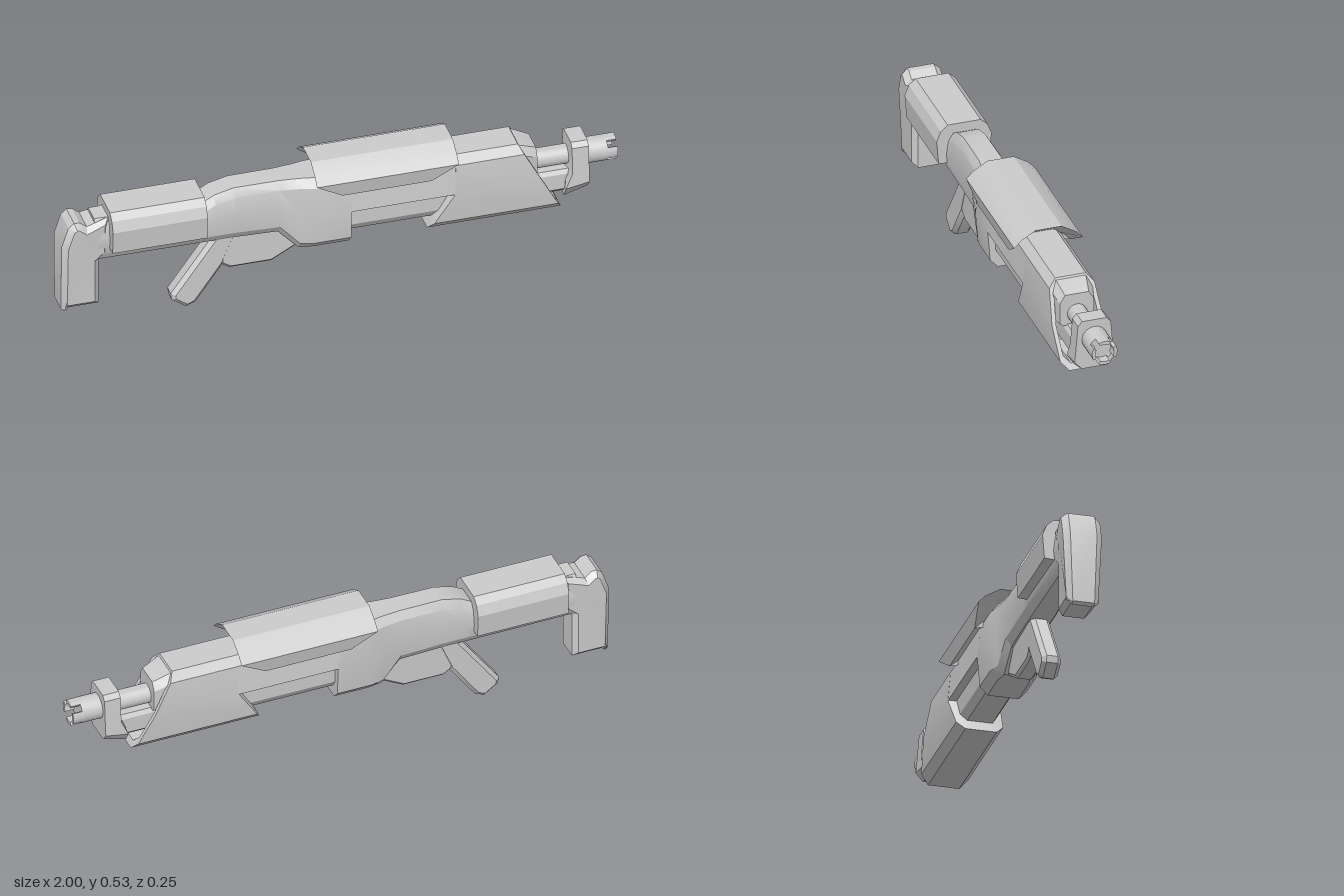
import * as THREE from 'three';
import { toCreasedNormals } from 'three/addons/utils/BufferGeometryUtils.js';

const material = new THREE.MeshStandardMaterial({ color: 0xcccccc, side: THREE.DoubleSide });

export function createModel() {
  const group = new THREE.Group();
  const add = (name, geometry, crease = 0.45) => {
    const mesh = new THREE.Mesh(toCreasedNormals(geometry, crease), material);
    mesh.name = name;
    group.add(mesh);
    return mesh;
  };

  // Mirrored ring: half holds [z, y] from top to bottom, x is a number or a rule (y, index)
  const ring = (x, half) => {
    const side = half.map(([z, y], i) => [typeof x === 'function' ? x(y, i) : x, y, z]);
    return [...side, ...side.map(([a, y, z]) => [a, y, -z]).reverse()];
  };

  // Skin over rings that run towards +x, capped at both ends
  const loft = (rings) => {
    const p = [];
    const n = rings[0].length;
    const centre = (r) => [0, 1, 2].map((k) => r.reduce((s, v) => s + v[k], 0) / n);
    const first = rings[0], last = rings[rings.length - 1];
    const c0 = centre(first), c1 = centre(last);
    for (let j = 0; j < n; j++) {
      const k = (j + 1) % n;
      for (let i = 0; i + 1 < rings.length; i++) {
        const a = rings[i], b = rings[i + 1];
        p.push(...a[j], ...a[k], ...b[k], ...a[j], ...b[k], ...b[j]);
      }
      p.push(...c0, ...first[k], ...first[j], ...c1, ...last[j], ...last[k]);
    }
    const g = new THREE.BufferGeometry();
    g.setAttribute('position', new THREE.Float32BufferAttribute(p, 3));
    return g;
  };

  // Ten-sided body section
  const section = (top, bottom, w) => [
    [w * 0.6, top], [w * 0.88, top - 0.03], [w, (top + bottom) / 2],
    [w * 0.9, bottom + 0.03], [w * 0.6, bottom],
  ];

  // Side outline with bevelled edges, centred on z = 0
  const plate = (points, width, bevel, hole) => {
    const toPath = (pts) => pts.map(([x, y]) => new THREE.Vector2(x, y));
    const shape = new THREE.Shape(toPath(points));
    if (hole) shape.holes.push(new THREE.Path(toPath(hole)));
    const depth = width - 2 * bevel;
    const g = new THREE.ExtrudeGeometry(shape, {
      depth, bevelEnabled: bevel > 0, bevelSize: bevel, bevelOffset: -bevel,
      bevelThickness: bevel, bevelSegments: 1, curveSegments: 10,
    });
    return g.translate(0, 0, -depth / 2);
  };

  // Stock bar and receiver
  add('receiver', loft([
    [-0.88, 0.44, 0.27, 0.06], [-0.49, 0.435, 0.27, 0.065], [-0.45, 0.458, 0.27, 0.065],
    [-0.38, 0.475, 0.27, 0.065], [-0.22, 0.475, 0.265, 0.067], [-0.15, 0.475, 0.19, 0.078],
    [-0.1, 0.475, 0.19, 0.093], [0.03, 0.475, 0.19, 0.093],
  ].map(([x, ...s]) => ring(x, section(...s)))));

  // Butt, wider towards the top
  const butt = plate([
    [-0.99, 0.08], [-0.975, 0.092], [-0.865, 0.092], [-0.865, 0.27], [-0.83, 0.3], [-0.83, 0.44],
    [-0.91, 0.42], [-0.935, 0.44], [-0.955, 0.442], [-0.975, 0.425], [-1, 0.35], [-1, 0.09],
  ], 0.114, 0.018);
  const pos = butt.attributes.position;
  for (let i = 0; i < pos.count; i++) {
    if (pos.getY(i) > 0.3 && pos.getX(i) < -0.9) pos.setZ(i, pos.getZ(i) * 1.22);
  }
  add('butt', butt);

  // Cheek cover over the stock bar
  const cheek = [[0.06, 0.47], [0.085, 0.448], [0.1, 0.41], [0.093, 0.322], [0.06, 0.32]];
  add('cheekCover', loft([ring(-0.83, cheek), ring(-0.49, cheek)]));

  // Grip, trigger guard and trigger
  add('grip', plate([
    [-0.44, 0.29], [-0.6, 0.065], [-0.597, 0.04], [-0.545, 0.003], [-0.51, 0.018],
    [-0.41, 0.16], [-0.36, 0.29],
  ], 0.068, 0.014));
  add('triggerGuard', plate([
    [-0.43, 0.29], [-0.425, 0.16], [-0.39, 0.138], [-0.24, 0.138], [-0.14, 0.192], [-0.14, 0.29],
  ], 0.066, 0.01, [[-0.4, 0.185], [-0.27, 0.182], [-0.26, 0.272], [-0.36, 0.272]]));
  add('trigger', plate([
    [-0.3, 0.28], [-0.325, 0.245], [-0.355, 0.232], [-0.36, 0.205], [-0.385, 0.205],
    [-0.385, 0.235], [-0.36, 0.28],
  ], 0.024, 0));

  // Upper fore body and the narrower bar below it
  const upper = [[0.056, 0.475], [0.082, 0.445], [0.093, 0.332], [0.06, 0.33]];
  add('foreBody', loft([ring(0.02, upper), ring(0.57, upper)]));
  const lower = [[0.065, 0.345], [0.065, 0.26], [0.045, 0.23]];
  add('lowerBar', loft([ring(0.02, lower), ring(0.42, lower)]));

  // Handguard with slanted ends and a hollow front
  const guard = section(0.475, 0.19, 0.0935);
  const inner = guard.map(([z, y]) => [z * 0.84, 0.33 + (y - 0.33) * 0.84]);
  const slant = (y) => 0.79 - (y - 0.19) * 0.54;
  add('handguard', loft([
    ring((y) => 0.31 + Math.min(y - 0.19, 0.15) * 0.64, guard),
    ring(slant, guard), ring(slant, inner), ring(0.61, inner),
  ]));

  // Nose above the barrel
  const nose = (top, w) => [[w * 0.7, top], [w, top - 0.03], [w, 0.33], [w * 0.8, 0.32]];
  add('nose', loft([ring(0.56, nose(0.474, 0.08)), ring(0.64, nose(0.468, 0.078)),
    ring(0.705, nose(0.44, 0.062))]));

  // Raised top cover with undercut ends
  const outer = [[0.048, 0.535], [0.1, 0.504], [0.125, 0.478], [0.113, 0.42], [0.078, 0.448]];
  const tucked = [[0.045, 0.472], [0.068, 0.458], [0.085, 0.448], [0.113, 0.42], [0.078, 0.448]];
  add('topCover', loft([
    ring(-0.01, tucked), ring((y, i) => (i < 3 ? -0.105 : -0.01), outer),
    ring((y, i) => (i < 3 ? 0.405 : 0.31), outer), ring(0.31, tucked),
  ]));

  // Barrel and the support rod under it
  const barrelY = 0.364;
  add('barrel', new THREE.CylinderGeometry(0.035, 0.035, 0.33, 24)
    .rotateZ(Math.PI / 2).translate(0.765, barrelY, 0), 0.6);
  const rod = [[0.035, 0.325], [0.045, 0.31], [0.045, 0.25], [0.03, 0.235]];
  add('supportRod', loft([ring(0.6, rod), ring(0.84, rod)]));

  // Front block with a sloping base
  add('frontBlock', loft([
    ring((y) => (y < 0.3 ? 0.805 : 0.83),
      [[0.045, 0.437], [0.06, 0.42], [0.068, 0.32], [0.072, 0.265], [0.047, 0.225]]),
    ring(0.89, [[0.045, 0.437], [0.06, 0.42], [0.068, 0.32], [0.072, 0.28], [0.047, 0.25]]),
  ]));

  // Muzzle collar and its four prongs
  const arcPiece = (r0, r1, a0, a1, x0, x1) => {
    const s = new THREE.Shape();
    s.absarc(0, 0, r1, a0, a1, false);
    s.absarc(0, 0, r0, a1, a0, true);
    return new THREE.ExtrudeGeometry(s, { depth: x1 - x0, bevelEnabled: false, curveSegments: 24 })
      .rotateY(Math.PI / 2).translate(x0, barrelY, 0);
  };
  add('muzzleCollar', new THREE.CylinderGeometry(0.046, 0.046, 0.08, 24)
    .rotateZ(Math.PI / 2).translate(0.925, barrelY, 0), 0.6);
  for (let i = 0; i < 4; i++) {
    const a = (i * Math.PI) / 2;
    add('muzzleProng', arcPiece(0.034, 0.046, a - 0.5, a + 0.5, 0.96, 1), 0.6);
  }
  return group;
}
